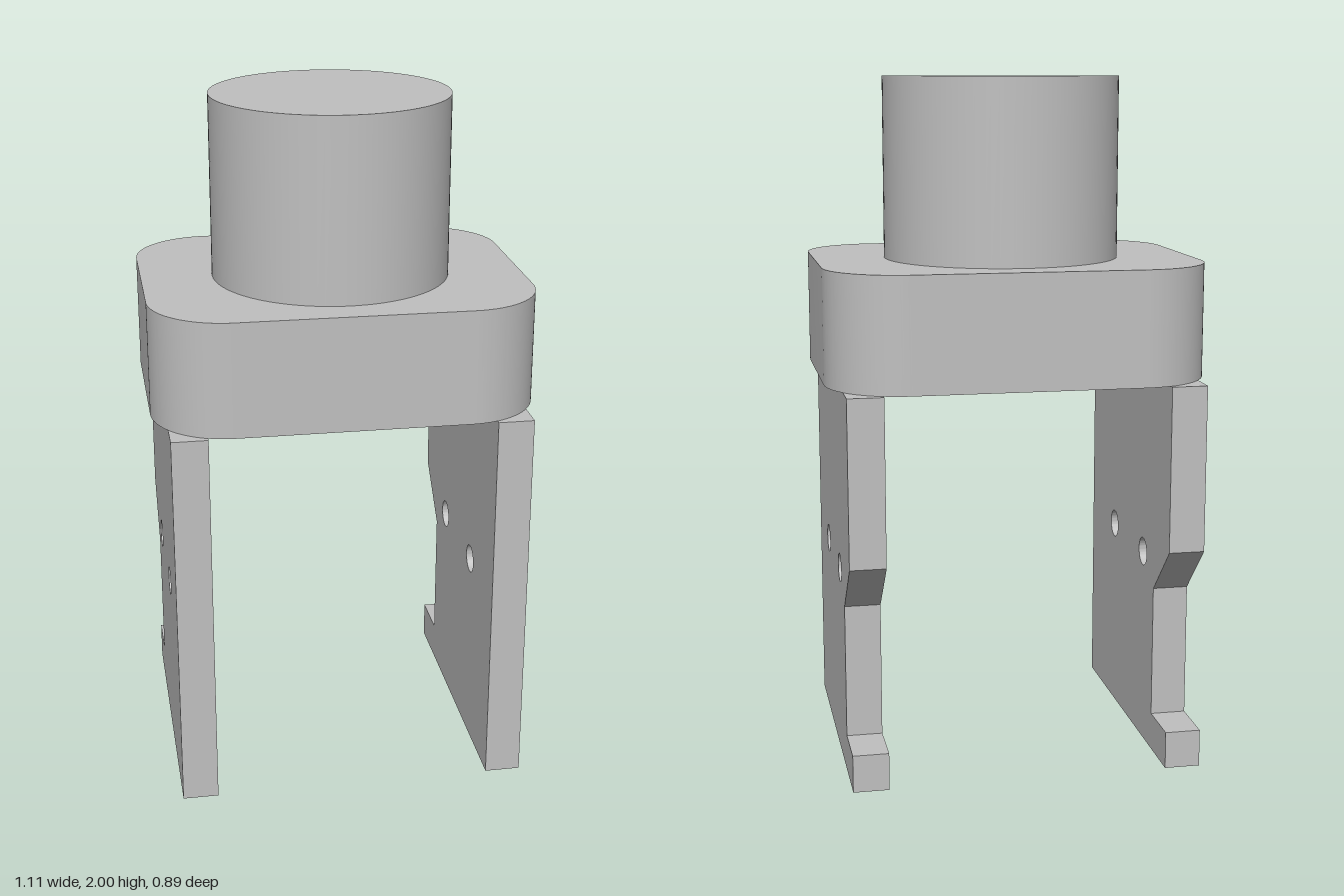
import * as THREE from 'three';
import { toCreasedNormals } from 'three/addons/utils/BufferGeometryUtils.js';

const metal = new THREE.MeshStandardMaterial({ color: 0xc0c0c0 });
metal.name = 'grey metal';

const HALF_W = 0.553, HALF_D = 0.443;
const LEG_TOP = 1.14, BLOCK_TOP = 1.473, TOP = 2;

function add(group, name, geometry) {
  const mesh = new THREE.Mesh(geometry, metal);
  mesh.name = name;
  group.add(mesh);
  return mesh;
}

// Rounded rectangle centred on the origin
function roundedRect(w, d, r) {
  const s = new THREE.Shape();
  s.absarc(w - r, d - r, r, 0, Math.PI / 2);
  s.absarc(-w + r, d - r, r, Math.PI / 2, Math.PI);
  s.absarc(-w + r, -d + r, r, Math.PI, Math.PI * 1.5);
  s.absarc(w - r, -d + r, r, Math.PI * 1.5, Math.PI * 2);
  s.closePath();
  return s;
}

// Side plate: profile drawn with its back towards +x, then turned to face -z
function plateGeometry(thickness) {
  const s = new THREE.Shape([
    [-HALF_D, 0], [HALF_D, 0], [HALF_D, 0.11], [0.287, 0.11],
    [0.287, 0.503], [HALF_D, 0.655], [HALF_D, LEG_TOP], [-HALF_D, LEG_TOP],
  ].map(([x, y]) => new THREE.Vector2(x, y)));
  for (const x of [-0.167, 0.167]) {
    s.holes.push(new THREE.Path().absarc(x, 0.585, 0.042, 0, Math.PI * 2, true));
  }
  const g = new THREE.ExtrudeGeometry(s, { depth: thickness, bevelEnabled: false, curveSegments: 32 });
  g.translate(0, 0, -thickness / 2).rotateY(Math.PI / 2);
  return toCreasedNormals(g, 0.6);
}

export function createModel() {
  const model = new THREE.Group();
  model.name = 'clevisFitting';

  // Two matching notched plates
  const plate = plateGeometry(0.104);
  for (const side of [1, -1]) {
    add(model, side > 0 ? 'leftPlate' : 'rightPlate', plate).position.x = side * 0.46;
  }

  // Block with rounded corners
  const block = new THREE.ExtrudeGeometry(roundedRect(HALF_W, HALF_D, 0.222), {
    depth: BLOCK_TOP - LEG_TOP, bevelEnabled: false, curveSegments: 24,
  });
  block.rotateX(-Math.PI / 2).translate(0, LEG_TOP, 0);
  add(model, 'block', toCreasedNormals(block, 0.6));

  // Round shank on top
  const shank = new THREE.CylinderGeometry(0.346, 0.346, TOP - BLOCK_TOP, 96);
  add(model, 'shank', shank).position.y = (TOP + BLOCK_TOP) / 2;

  return model;
}
